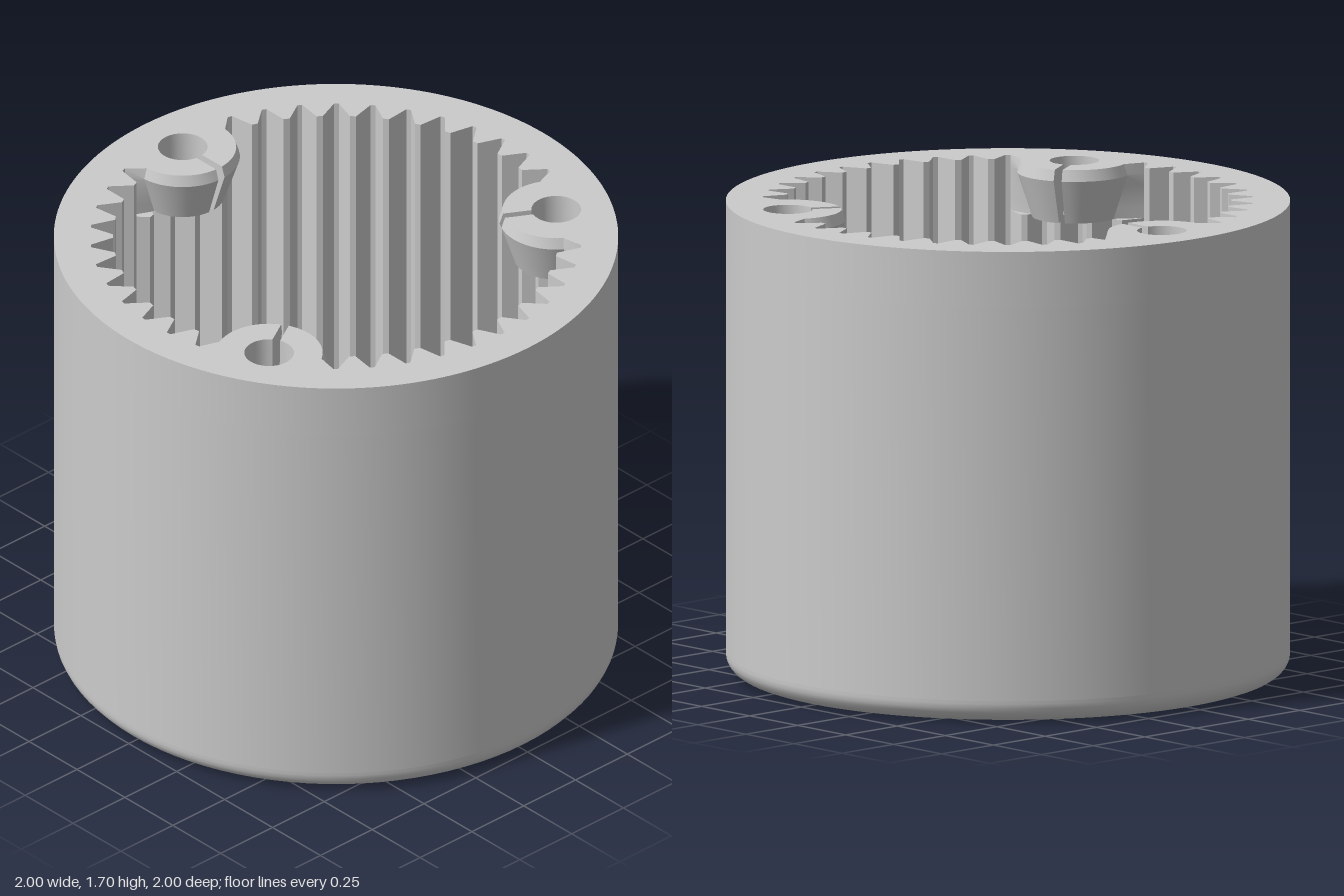
import * as THREE from 'three';
import { toCreasedNormals } from 'three/addons/utils/BufferGeometryUtils.js';

const TEETH = 42, ROOT = 0.87, TIP = 0.79;
const HEIGHT = 1.7, FLOOR = 0.08, BOSS_BASE = 1.5;
const BOSS_AT = 0.8, BOSS_R = 0.19, HOLE_R = 0.088, SLIT = 0.014;
const PITCH = (Math.PI * 2) / TEETH;

// Point at a radius, with the angle measured from the back
const polar = (r, a) => new THREE.Vector2(-r * Math.sin(a), r * Math.cos(a));

// Teeth as a zigzag with small flats, from one groove to another
function teeth(first, last) {
  const pts = [];
  for (let i = first; i <= last; i++) {
    const a = i * PITCH;
    pts.push(polar(ROOT, a - 0.01), polar(ROOT, a + 0.01));
    if (i < last) {
      pts.push(polar(TIP, a + PITCH / 2 - 0.014), polar(TIP, a + PITCH / 2 + 0.014));
    }
  }
  return pts;
}

// Split screw boss: outer arc, slit, round hole, slit, outer arc
function boss(turn) {
  const pts = [], origin = new THREE.Vector2();
  const arc = (r, from, to, n) => {
    for (let i = 0; i <= n; i++) {
      const t = from + ((to - from) * i) / n;
      const p = new THREE.Vector2(-r * Math.sin(t), BOSS_AT + r * Math.cos(t));
      pts.push(p.rotateAround(origin, turn));
    }
  };
  const start = 1.66, outer = Math.PI - SLIT / BOSS_R, inner = Math.PI - SLIT / HOLE_R;
  arc(BOSS_R, -start, -outer, 12);
  arc(HOLE_R, -inner, inner, 32);
  arc(BOSS_R, outer, start, 12);
  return pts;
}

// Round wall with a shaped bore, extruded upwards
function wall(bore, y0, y1, steps) {
  const shape = new THREE.Shape();
  shape.absarc(0, 0, 1, 0, Math.PI * 2, false);
  shape.holes.push(new THREE.Path().setFromPoints(bore));
  const g = new THREE.ExtrudeGeometry(shape, {
    depth: y1 - y0, steps, curveSegments: 96, bevelEnabled: false,
  });
  return g.rotateX(-Math.PI / 2).translate(0, y0, 0);
}

// Swell the bosses just below the rim, then narrow them downwards
function taperBosses(g) {
  const pos = g.attributes.position;
  for (let i = 0; i < pos.count; i++) {
    const y = pos.getY(i);
    const r = y > 1.66 ? BOSS_R + (HEIGHT - y) * 0.35 : 0.15 + (y - BOSS_BASE) * 0.33;
    for (let k = 0; k < 3; k++) {
      const a = (k * Math.PI * 2) / 3;
      const cx = -BOSS_AT * Math.sin(a), cz = -BOSS_AT * Math.cos(a);
      const dx = pos.getX(i) - cx, dz = pos.getZ(i) - cz;
      if (Math.abs(Math.hypot(dx, dz) - BOSS_R) < 0.001) {
        pos.setX(i, cx + (dx * r) / BOSS_R);
        pos.setZ(i, cz + (dz * r) / BOSS_R);
        break;
      }
    }
  }
  return g;
}

export function createModel() {
  const group = new THREE.Group();
  const material = new THREE.MeshStandardMaterial({ color: 0xcccccc });
  const add = (name, geometry) => {
    const mesh = new THREE.Mesh(toCreasedNormals(geometry, 0.45), material);
    mesh.name = name;
    group.add(mesh);
  };

  // Floor with a rounded lower edge and a central shaft hole
  const profile = [new THREE.Vector2(0.215, FLOOR), new THREE.Vector2(0.215, 0)];
  for (let i = 0; i <= 6; i++) {
    const t = (i / 6) * Math.PI / 2;
    profile.push(new THREE.Vector2(0.92 + 0.08 * Math.sin(t), 0.07 * (1 - Math.cos(t))));
  }
  profile.push(new THREE.Vector2(1, FLOOR), new THREE.Vector2(0.215, FLOOR));
  add('floor', new THREE.LatheGeometry(profile, 96));

  // Toothed wall below the bosses
  const gear = teeth(0, TEETH - 1);
  gear.push(polar(TIP, -PITCH / 2 - 0.014), polar(TIP, -PITCH / 2 + 0.014));
  add('gearWall', wall(gear, FLOOR, BOSS_BASE, 1));

  // Rim with three bosses between runs of teeth
  const rim = [];
  for (let k = 0; k < 3; k++) {
    rim.push(...boss((k * Math.PI * 2) / 3), ...teeth(14 * k + 2, 14 * k + 12));
  }
  add('bossRim', taperBosses(wall(rim, BOSS_BASE, HEIGHT, 5)));

  return group;
}
